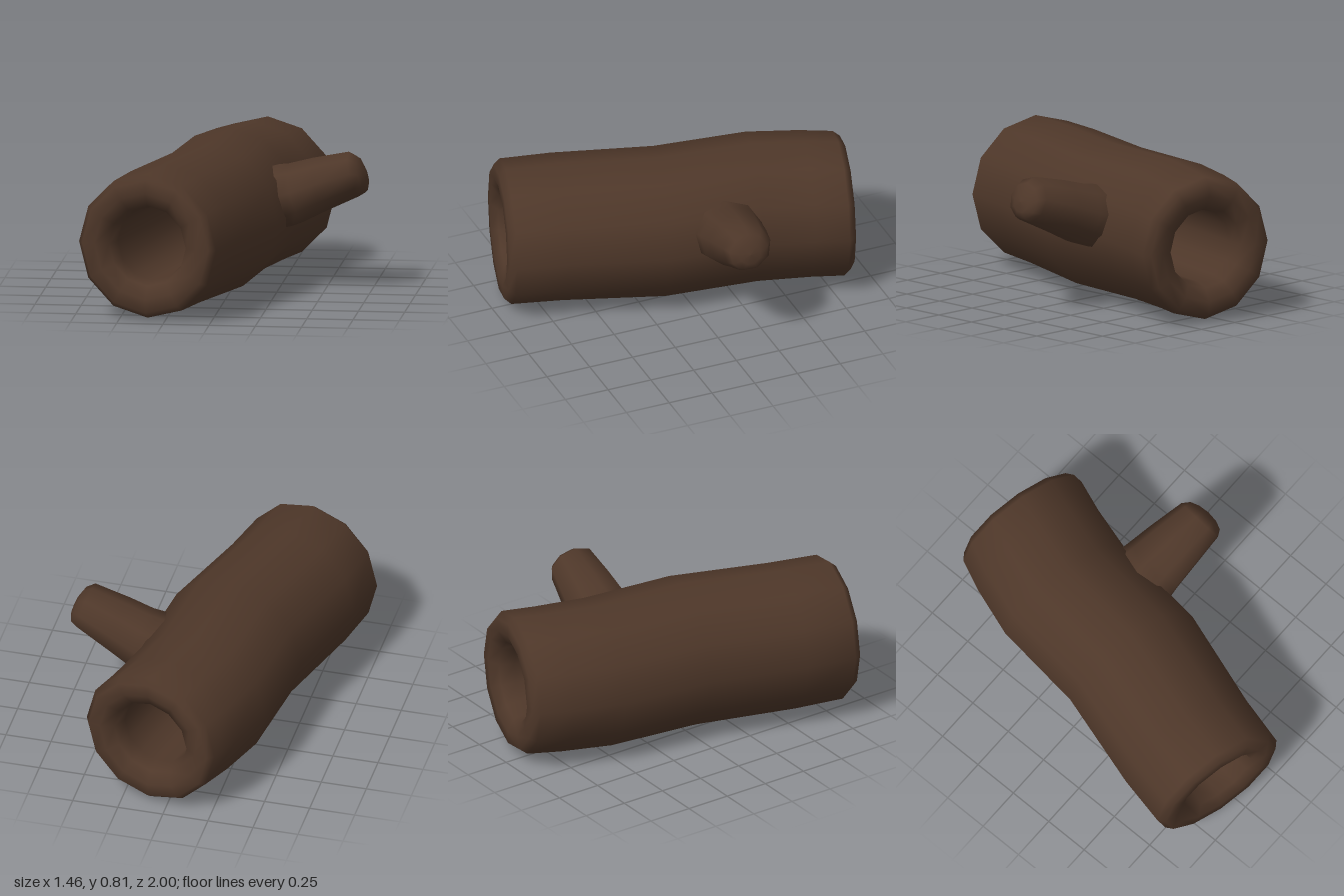
import * as THREE from 'three';

// Smooth skin over rings [x, y, z, radius]; u and v span the plane of each ring.
function loft(rings, u, v, sides, phase, closed) {
  const pos = [], index = [];
  for (const [x, y, z, r] of rings) {
    for (let j = 0; j < sides; j++) {
      const a = phase + (j / sides) * Math.PI * 2;
      const p = new THREE.Vector3(x, y, z)
        .addScaledVector(u, r * Math.cos(a))
        .addScaledVector(v, r * Math.sin(a));
      pos.push(p.x, p.y, p.z);
    }
  }
  const n = rings.length;
  for (let i = 0; i < (closed ? n : n - 1); i++) {
    for (let j = 0; j < sides; j++) {
      const k = (j + 1) % sides, next = ((i + 1) % n) * sides;
      const a = i * sides + j, b = i * sides + k, c = next + j, d = next + k;
      index.push(a, b, c, b, d, c);
    }
  }
  const geo = new THREE.BufferGeometry();
  geo.setAttribute('position', new THREE.Float32BufferAttribute(pos, 3));
  geo.setIndex(index);
  geo.computeVertexNormals();
  return geo;
}

export function createModel() {
  const group = new THREE.Group();
  const bark = new THREE.MeshStandardMaterial({ color: 0x4e3729 });
  const up = new THREE.Vector3(0, 1, 0);
  const add = (name, geo) => {
    const mesh = new THREE.Mesh(geo, bark);
    mesh.name = name;
    group.add(mesh);
  };

  // Hollow log: outer bark from back to front, then the bore from front to back
  const y = 0.405;
  const across = new THREE.Vector3(0.97, 0, 0.24).normalize();
  add('hollowLog', loft([
    [0.108, y, -0.915, 0.29],
    [0.108, y, -0.912, 0.36],
    [0.1, y, -0.875, 0.39],
    [0.03, y, -0.705, 0.396],
    [-0.055, y, -0.435, 0.403],
    [-0.115, y, 0.08, 0.405],
    [-0.283, y, 0.61, 0.398],
    [-0.346, y, 0.88, 0.393],
    [-0.355, y, 0.915, 0.362],
    [-0.355, y, 0.918, 0.29],
    [-0.347, y, 0.885, 0.22],
    [-0.327, y, 0.8, 0.2],
    [0.08, y, -0.8, 0.2],
    [0.1, y, -0.88, 0.22],
  ], across, up, 12, 0, true));

  // Branch stub: wider than tall, sunk into the trunk and rounded at the tip
  const dir = new THREE.Vector3(0.96, 0.26, 0.07).normalize();
  const side = new THREE.Vector3().crossVectors(up, dir).normalize();
  const rise = new THREE.Vector3().crossVectors(dir, side);
  side.multiplyScalar(1.1);
  add('branch', loft([
    [0.12, 0.46, -0.16, 0.17],
    [0.29, 0.505, -0.155, 0.172],
    [0.34, 0.518, -0.15, 0.165],
    [0.47, 0.57, -0.13, 0.15],
    [0.66, 0.637, -0.1, 0.125],
    [0.7, 0.635, -0.095, 0.1],
    [0.72, 0.63, -0.095, 0.055],
    [0.726, 0.632, -0.095, 0],
  ], side, rise, 9, Math.PI / 2, false));

  return group;
}
